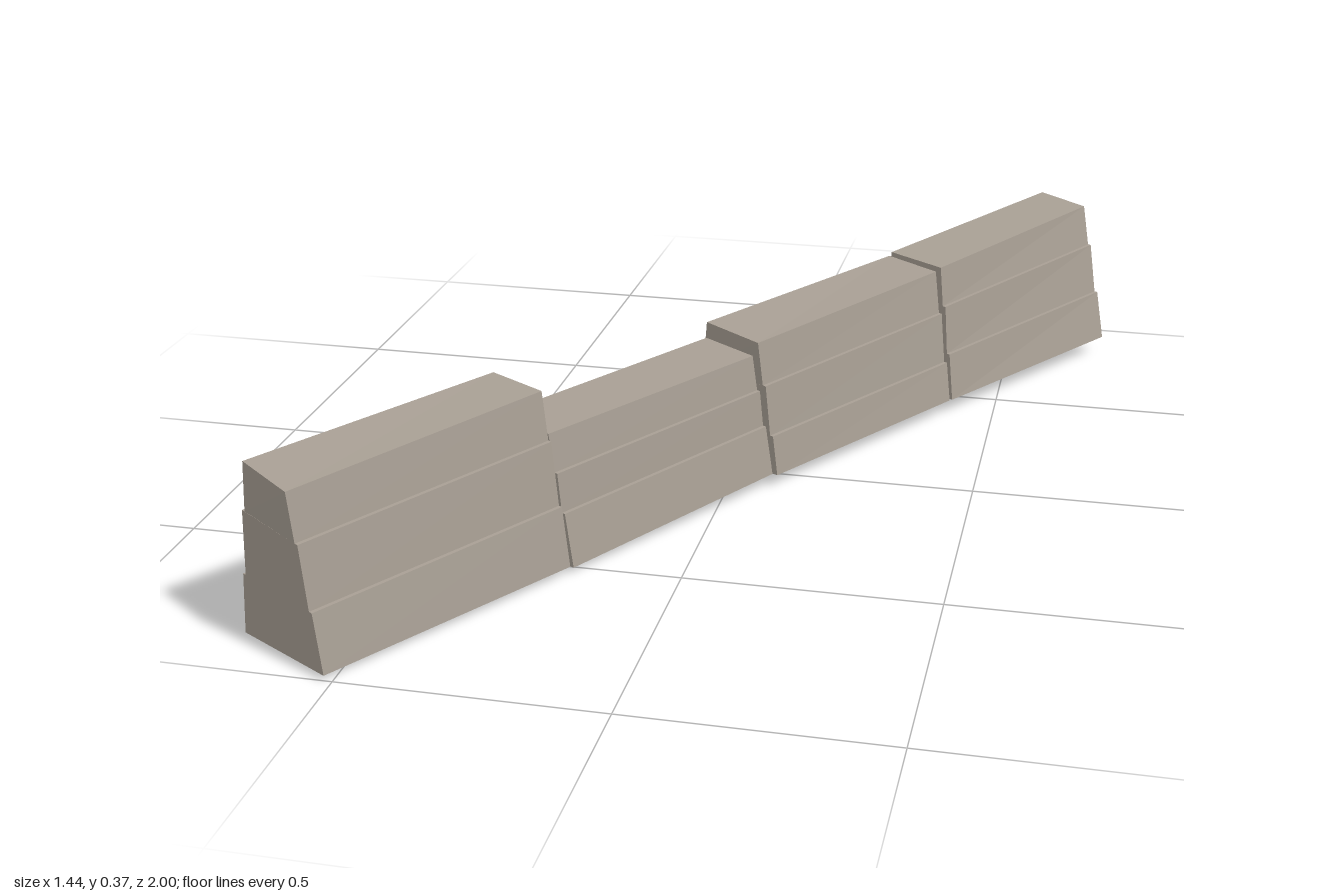
import * as THREE from 'three';

// Each wall block: bottom and top corner points (left, right) at both ends, and the heights of its course joints
const BLOCKS = [
  {
    name: 'nearBlock', joints: [0.35, 0.72],
    start: { bl: [-0.72, 0, 0.87], br: [-0.515, 0.01, 1], tl: [-0.68, 0.355, 0.895], tr: [-0.565, 0.347, 0.98] },
    end: { bl: [-0.415, 0.01, 0.405], br: [-0.21, 0.016, 0.53], tl: [-0.375, 0.368, 0.445], tr: [-0.26, 0.366, 0.51] },
  },
  {
    name: 'lowBlock', joints: [0.41, 0.71],
    start: { bl: [-0.41, 0.01, 0.4], br: [-0.205, 0.012, 0.525], tl: [-0.37, 0.28, 0.44], tr: [-0.25, 0.28, 0.51] },
    end: { bl: [-0.105, 0.02, -0.06], br: [0.09, 0.029, 0.065], tl: [-0.07, 0.285, -0.025], tr: [0.045, 0.285, 0.055] },
  },
  {
    name: 'middleBlock', joints: [0.3, 0.68],
    start: { bl: [-0.11, 0.02, -0.06], br: [0.1, 0.027, 0.065], tl: [-0.07, 0.318, -0.03], tr: [0.055, 0.312, 0.05] },
    end: { bl: [0.2, 0.028, -0.525], br: [0.405, 0.035, -0.39], tl: [0.245, 0.331, -0.495], tr: [0.36, 0.329, -0.415] },
  },
  {
    name: 'farBlock', joints: [0.35, 0.71],
    start: { bl: [0.205, 0.028, -0.535], br: [0.41, 0.035, -0.395], tl: [0.25, 0.34, -0.495], tr: [0.37, 0.337, -0.42] },
    end: { bl: [0.5, 0.035, -1], br: [0.72, 0.04, -0.85], tl: [0.55, 0.36, -0.96], tr: [0.655, 0.356, -0.88] },
  },
];

const LEDGE = 0.004;
const vec = (p) => new THREE.Vector3(...p);

// Tapered cross-section: one left and one right point per level, with a small ledge at every joint
function section({ bl, br, tl, tr }, joints) {
  const across = vec(br).sub(vec(bl)).setY(0).normalize();
  const levels = [[0, 0]];
  for (const f of joints) levels.push([f, LEDGE], [f, -LEDGE]);
  levels.push([1, 0]);
  return {
    left: levels.map(([f, out]) => vec(bl).lerp(vec(tl), f).addScaledVector(across, -out)),
    right: levels.map(([f, out]) => vec(br).lerp(vec(tr), f).addScaledVector(across, out)),
  };
}

function blockGeometry({ start, end, joints }) {
  const s = section(start, joints);
  const e = section(end, joints);
  const positions = [];
  const quad = (a, b, c, d) => {
    for (const p of [a, b, c, a, c, d]) positions.push(p.x, p.y, p.z);
  };

  // Long faces, top and underside around the section
  const ringS = [...s.right, ...s.left.slice().reverse()];
  const ringE = [...e.right, ...e.left.slice().reverse()];
  for (let i = 0; i < ringS.length; i++) {
    const j = (i + 1) % ringS.length;
    quad(ringS[i], ringE[i], ringE[j], ringS[j]);
  }

  // End faces, course by course
  for (let k = 0; k < s.left.length - 1; k++) {
    quad(s.left[k], s.right[k], s.right[k + 1], s.left[k + 1]);
    quad(e.right[k], e.left[k], e.left[k + 1], e.right[k + 1]);
  }

  const geometry = new THREE.BufferGeometry();
  geometry.setAttribute('position', new THREE.Float32BufferAttribute(positions, 3));
  geometry.computeVertexNormals();
  return geometry;
}

export function createModel() {
  const wall = new THREE.Group();
  wall.name = 'stoneWall';
  const stone = new THREE.MeshStandardMaterial({ color: 0xa89f94 });
  stone.name = 'warm grey stone';

  for (const block of BLOCKS) {
    const mesh = new THREE.Mesh(blockGeometry(block), stone);
    mesh.name = block.name;
    wall.add(mesh);
  }
  return wall;
}
